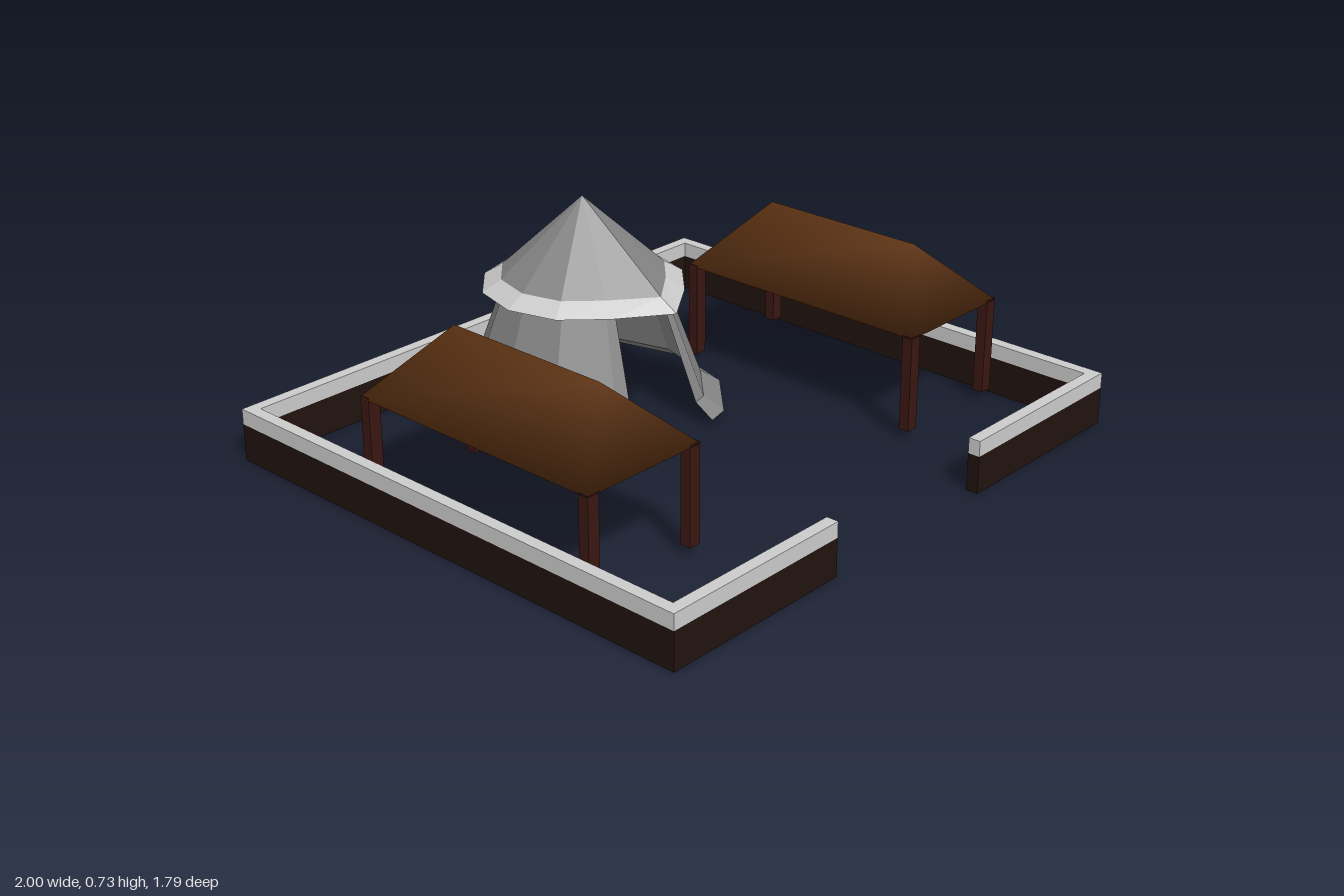
import * as THREE from 'three';

const mat = (color, extra = {}) => new THREE.MeshStandardMaterial({ color, ...extra });
const flat = { flatShading: true, side: THREE.DoubleSide };
const wallMat = mat(0x20130f);
const capMat = mat(0xcccccc);
const roofMat = mat(0x5c3212);
const postMat = mat(0x3a1712);
const stoneMat = mat(0x858585, flat);
const brimMat = mat(0xcccccc, flat);

function add(parent, name, geometry, material) {
  const mesh = new THREE.Mesh(geometry, material);
  mesh.name = name;
  parent.add(mesh);
  return mesh;
}

// Faceted surface through rows of points, listed bottom to top
function loft(rows) {
  const pts = [];
  for (let i = 0; i < rows.length - 1; i++) {
    for (let j = 0; j < rows[i].length - 1; j++) {
      const a = rows[i][j], b = rows[i][j + 1], c = rows[i + 1][j + 1], d = rows[i + 1][j];
      pts.push(a, b, c);
      if (!c.equals(d)) pts.push(a, c, d);
    }
  }
  const g = new THREE.BufferGeometry().setFromPoints(pts);
  g.computeVertexNormals();
  return g;
}

const polar = (r, y, k) =>
  new THREE.Vector3(r * Math.sin(k * Math.PI / 6), y, r * Math.cos(k * Math.PI / 6));

// Closed 12-sided ring; the front corner is pushed forward to shelter the door
function ring(r, y, front = r) {
  return Array.from({ length: 13 }, (_, k) => polar(k % 12 === 0 ? front : r, y, k));
}

// Ring left open at the front, ending in a door jamb on each side
function doorRing(r, y, jamb) {
  const row = Array.from({ length: 11 }, (_, k) => polar(r, y, k + 1));
  const front = polar(r, y, 0);
  return [row[0].clone().lerp(front, jamb), ...row, row[10].clone().lerp(front, jamb)];
}

function createTower() {
  const tower = new THREE.Group();
  tower.name = 'roundHut';
  add(tower, 'hutWall', loft([
    doorRing(0.457, 0.03, 0.35), doorRing(0.39, 0.075, 0.27), doorRing(0.245, 0.475, 0.22),
  ]), stoneMat);
  add(tower, 'hutBrim', loft([ring(0.328, 0.437, 0.4), ring(0.267, 0.475, 0.335)]), brimMat);
  add(tower, 'hutRoof', loft([ring(0.267, 0.475, 0.335), ring(0, 0.725)]), stoneMat);
  tower.position.set(-0.015, 0, -0.4);
  return tower;
}

// Softly shaded hipped roof: four eave corners and two ridge ends
function hipRoof(w, z0, z1, r0, r1, y0, y1) {
  const g = new THREE.BufferGeometry();
  g.setAttribute('position', new THREE.Float32BufferAttribute([
    -w, y0, z1, w, y0, z1, w, y0, z0, -w, y0, z0, 0, y1, r1, 0, y1, r0,
  ], 3));
  g.setIndex([0, 1, 4, 1, 2, 5, 1, 5, 4, 2, 3, 5, 3, 0, 4, 3, 4, 5, 0, 2, 1, 0, 3, 2]);
  g.computeVertexNormals();
  return g;
}

function createShelter(name, x) {
  const shelter = new THREE.Group();
  shelter.name = name;
  add(shelter, 'shelterRoof', hipRoof(0.222, -0.405, 0.525, -0.23, 0.355, 0.345, 0.554), roofMat);
  for (const px of [-0.2, 0.2]) {
    for (const pz of [-0.384, 0.506]) {
      add(shelter, 'shelterPost', new THREE.BoxGeometry(0.042, 0.32, 0.036), postMat)
        .position.set(px, 0.19, pz);
    }
  }
  shelter.position.x = x;
  return shelter;
}

// Yard wall outline with a gateway at the front
function yardWall(height) {
  const X = 1, Z = 0.895, t = 0.04, gate = 0.335;
  const half = [[gate, Z - t], [gate, Z], [X, Z], [X, -Z]];
  const inner = [[X - t, -Z + t], [X - t, Z - t]];
  const mirror = ([x, z]) => [-x, z];
  const outline = [
    ...half, ...half.map(mirror).reverse(),
    ...inner.map(mirror).reverse(), ...inner,
  ];
  const shape = new THREE.Shape(outline.map(([x, z]) => new THREE.Vector2(x, -z)));
  return new THREE.ExtrudeGeometry(shape, { depth: height, bevelEnabled: false })
    .rotateX(-Math.PI / 2);
}

export function createModel() {
  const model = new THREE.Group();
  model.name = 'walledYard';
  add(model, 'yardWall', yardWall(0.123), wallMat);
  add(model, 'wallCap', yardWall(0.051), capMat).position.y = 0.123;
  model.add(createTower());
  model.add(createShelter('leftShelter', 0.706));
  model.add(createShelter('rightShelter', -0.71));
  return model;
}
